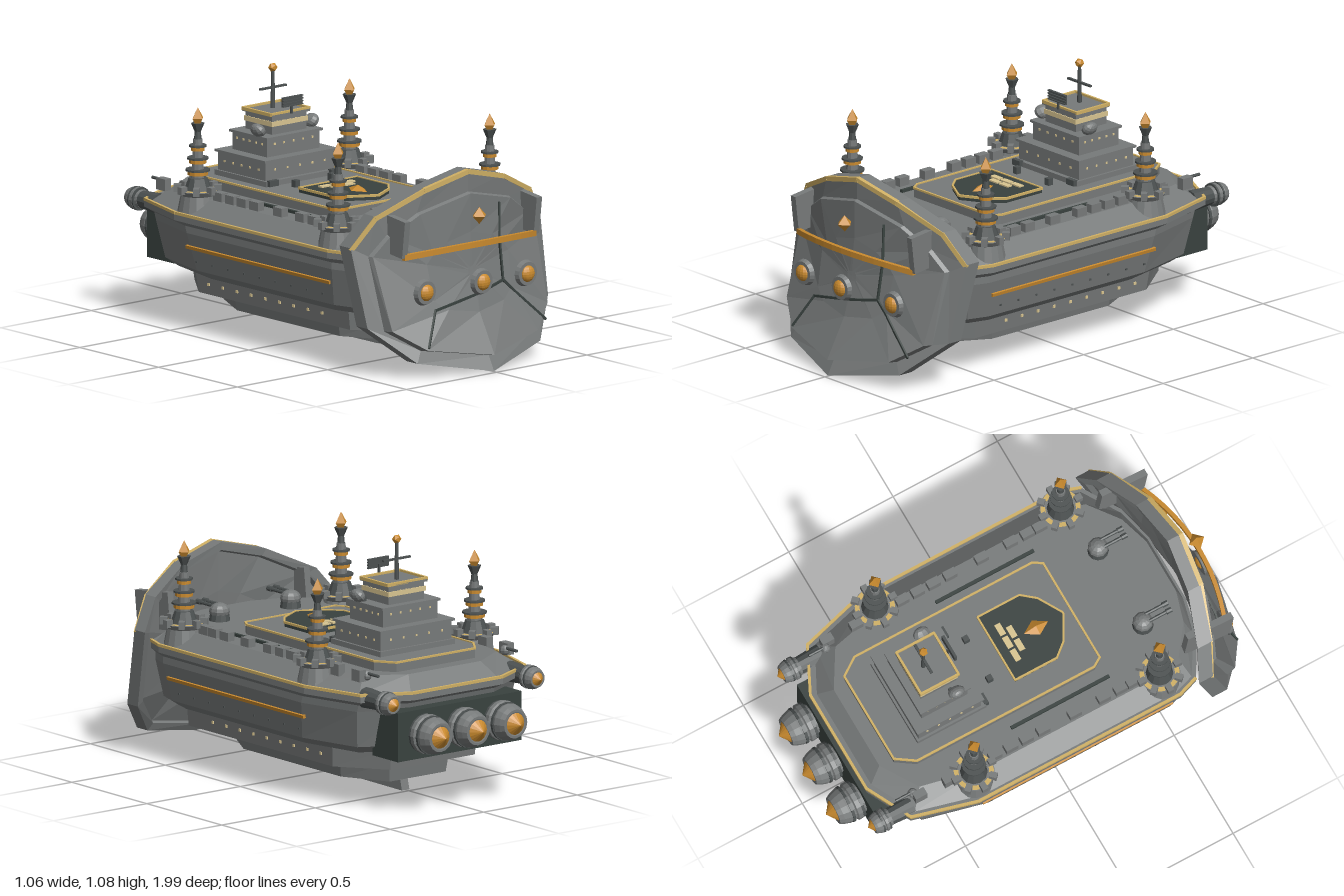
import * as THREE from 'three';

const mat = (name, color) => Object.assign(new THREE.MeshStandardMaterial({ color, flatShading: true }), { name });

export function createModel() {
  const root = new THREE.Group();
  root.name = 'battleship';
  const hull = mat('hull grey', 0x777a7a), dark = mat('dark grey', 0x4c5151), slate = mat('slate', 0x39423f),
    gold = mat('gold', 0xc98a2e), brass = mat('brass trim', 0xd0b064), cream = mat('cream', 0xd9c591);

  const add = (name, geo, m, x = 0, y = 0, z = 0, parent = root) => {
    const mesh = new THREE.Mesh(geo, m);
    mesh.name = name;
    mesh.position.set(x, y, z);
    parent.add(mesh);
    return mesh;
  };
  const box = (name, m, w, h, d, x, y, z, parent) => add(name, new THREE.BoxGeometry(w, h, d), m, x, y, z, parent);
  const cyl = (name, m, r1, r2, h, x, y, z, n = 12, parent = root) => add(name, new THREE.CylinderGeometry(r1, r2, h, n), m, x, y, z, parent);
  // straight bars joining successive points
  const bars = (name, m, pts, w, h, closed = false) => {
    for (let i = 0; i < pts.length - (closed ? 0 : 1); i++) {
      const a = new THREE.Vector3(...pts[i]), b = new THREE.Vector3(...pts[(i + 1) % pts.length]);
      const bar = box(name, m, w, h, a.distanceTo(b) + w * 0.4, 0, 0, 0);
      bar.position.copy(a).add(b).multiplyScalar(0.5);
      bar.lookAt(b);
    }
  };
  // closed skin over equal-length rings, capped at both ends
  const skin = (name, rings, m) => {
    const v = [], n = rings[0].length;
    const mid = r => [0, 1, 2].map(k => r.reduce((s, p) => s + p[k], 0) / n);
    const first = rings[0], last = rings[rings.length - 1], c0 = mid(first), c1 = mid(last);
    for (let i = 0; i < n; i++) {
      const j = (i + 1) % n;
      for (let k = 0; k + 1 < rings.length; k++) {
        const a = rings[k], b = rings[k + 1];
        v.push(...a[i], ...a[j], ...b[j], ...a[i], ...b[j], ...b[i]);
      }
      v.push(...c0, ...first[j], ...first[i], ...c1, ...last[i], ...last[j]);
    }
    const g = new THREE.BufferGeometry();
    g.setAttribute('position', new THREE.Float32BufferAttribute(v, 3));
    g.computeVertexNormals();
    return add(name, g, m);
  };
  // mirrored plan outline at height y, from (x, z) points running front to back
  const mirror = (s, y) => [...s.map(([x, z]) => [x, y, z]), ...s.slice().reverse().map(([x, z]) => [-x, y, z])];
  const plan = (y, w, zf, zb) => mirror([[w * 0.3, zf + 0.05], [w * 0.62, zf + 0.01], [w * 0.94, zf - 0.09], [w, zf - 0.18],
    [w, zb + 0.38], [w * 0.85, zb + 0.1], [w * 0.46, zb]], y);
  const tier = (y, w, zf, zb) => mirror([[w * 0.6, zf], [w, zf - 0.18], [w, zb + 0.2], [w * 0.6, zb]], y);

  // hull, deck and stepped underside
  skin('hull', [plan(0.245, 0.42, 0.64, -0.71), plan(0.28, 0.465, 0.68, -0.75), plan(0.44, 0.495, 0.7, -0.78),
    plan(0.47, 0.495, 0.7, -0.79), plan(0.49, 0.52, 0.7, -0.83), plan(0.52, 0.52, 0.7, -0.83)], hull);
  skin('deck', [plan(0.52, 0.5, 0.69, -0.8), plan(0.58, 0.42, 0.67, -0.74)], hull);
  bars('deckTrim', brass, plan(0.522, 0.517, 0.7, -0.827).slice(2, -2), 0.012, 0.012);
  skin('lowerHull', [tier(0.16, 0.375, 0.68, -0.66), tier(0.25, 0.385, 0.68, -0.67)], hull);
  skin('bottomHull', [tier(0.08, 0.25, 0.47, -0.56), tier(0.16, 0.265, 0.48, -0.57)], hull);
  const fin = new THREE.Shape([[-0.39, 0.085], [-0.27, 0.012], [0.48, 0.008], [0.46, 0.085]].map(p => new THREE.Vector2(...p)));
  add('keelFin', new THREE.ExtrudeGeometry(fin, { depth: 0.04, bevelEnabled: false }), hull, -0.02, 0, 0).rotation.y = Math.PI / 2;
  add('keelBulb', new THREE.SphereGeometry(0.028, 10, 8), dark, 0, 0.06, 0.35);
  for (const z of [0.08, -0.09, -0.25, -0.4]) box('keelRib', hull, 0.13, 0.04, 0.016, 0, 0.063, z);

  // side stripes, portholes and battlements
  for (const s of [-1, 1]) {
    box('sideStripe', gold, 0.014, 0.014, 0.91, s * 0.486, 0.38, 0.045).rotation.z = -s * 0.19;
    for (let i = 0; i < 9; i++) {
      box('porthole', cream, 0.008, 0.012, 0.012, s * 0.381, 0.205, 0.33 - i * 0.09);
      box('hullPort', dark, 0.008, 0.008, 0.008, s * 0.473, 0.32, 0.44 - i * 0.1);
    }
    box('deckSlot', slate, 0.014, 0.014, 0.47, s * 0.32, 0.585, 0.055);
    for (const z of [-0.66, -0.52, -0.3, -0.225, -0.15, -0.07, 0.08, 0.22, 0.3, 0.36])
      box('battlement', hull, 0.035, 0.05, 0.055, s * 0.395, 0.592, z);
  }

  // raised deck plate with trim
  const platePlan = y => mirror([[0.24, 0.29], [0.265, 0.25], [0.265, -0.6], [0.21, -0.68]], y);
  skin('centrePlate', [platePlan(0.58), platePlan(0.62)], hull);
  bars('plateTrim', brass, platePlan(0.621), 0.009, 0.008, true);

  // deck emblem
  const crest = y => mirror([[0.005, 0.25], [0.11, 0.19], [0.16, 0.13], [0.16, -0.07]], y);
  skin('crestPlate', [crest(0.62), crest(0.64)], slate);
  bars('crestTrim', brass, crest(0.639), 0.008, 0.01, true);
  for (const [x, z] of [[-0.065, -0.015], [0, -0.015], [0.065, -0.015], [-0.033, 0.022], [0.033, 0.022]])
    box('crestBrick', cream, 0.054, 0.012, 0.026, x, 0.64, z);
  add('crestDiamond', new THREE.OctahedronGeometry(1).scale(0.036, 0.022, 0.058), gold, 0, 0.64, 0.12);

  // bridge tower
  box('bridgeFoot', hull, 0.4, 0.025, 0.33, 0, 0.63, -0.395);
  for (const [w, d, y0, y1] of [[0.38, 0.3, 0.62, 0.73], [0.29, 0.22, 0.73, 0.815], [0.19, 0.17, 0.815, 0.9]]) {
    box('bridgeTier', hull, w, y1 - y0, d, 0, (y0 + y1) / 2, -0.4);
    box('bridgeLedge', hull, w + 0.02, 0.01, d + 0.02, 0, y1 - 0.005, -0.4);
    for (let i = -2; i <= 2; i++) {
      box('bridgeWindowSide', cream, w + 0.006, 0.009, 0.009, 0, (y0 + y1) / 2 + 0.01, -0.4 + i * d * 0.18);
      box('bridgeWindowFront', cream, 0.009, 0.009, d + 0.006, i * w * 0.18, (y0 + y1) / 2 + 0.01, -0.4);
    }
  }
  box('bridgeWindowBand', cream, 0.2, 0.02, 0.18, 0, 0.86, -0.4);
  const roof = [[0.105, 0.902, -0.31], [0.105, 0.902, -0.49], [-0.105, 0.902, -0.49], [-0.105, 0.902, -0.31]];
  bars('roofTrim', brass, roof, 0.01, 0.014, true);
  cyl('mast', dark, 0.007, 0.01, 0.16, 0, 0.98, -0.42, 8);
  box('mastArm', dark, 0.145, 0.008, 0.012, 0, 0.988, -0.42);
  add('mastBall', new THREE.IcosahedronGeometry(0.02), gold, 0, 1.073, -0.42);
  box('radarPanel', dark, 0.11, 0.042, 0.006, 0, 0.95, -0.298);
  for (const y of [0.932, 0.944, 0.956, 0.968]) box('radarSlat', dark, 0.11, 0.005, 0.012, 0, y, -0.295);
  box('radarPost', dark, 0.008, 0.05, 0.008, 0, 0.92, -0.302);
  for (const s of [-1, 1]) {
    const dish = add('radarDish', new THREE.SphereGeometry(0.042, 10, 8).scale(0.6, 0.75, 0.9), hull, s * 0.148, 0.838, -0.345);
    dish.rotation.z = -s * 0.7;
    cyl('dishPost', dark, 0.01, 0.01, 0.06, s * 0.125, 0.805, -0.36, 8);
    box('deckVent', dark, 0.025, 0.03, 0.025, s * 0.1, 0.635, -0.16);
    box('deckLocker', dark, 0.05, 0.025, 0.02, s * 0.17, 0.635, -0.225);
  }

  // corner towers
  for (const x of [-0.42, 0.42]) for (const z of [0.475, -0.415]) {
    const t = new THREE.Group();
    t.name = 'cornerTower';
    t.position.set(x, 0, z);
    root.add(t);
    cyl('towerBase', hull, 0.07, 0.09, 0.1, 0, 0.55, 0, 16, t);
    cyl('towerLip', hull, 0.088, 0.075, 0.02, 0, 0.603, 0, 16, t);
    for (let i = 0; i < 8; i++) {
      const a = i * Math.PI / 4;
      box('towerMerlon', hull, 0.026, 0.032, 0.032, Math.sin(a) * 0.085, 0.62, Math.cos(a) * 0.085, t).rotation.y = a;
      const arc = new THREE.RingGeometry(0.064, 0.084, 4, 1, a + 0.2, Math.PI / 4 - 0.4).rotateX(-Math.PI / 2);
      add('towerFloorArc', arc, brass, 0, 0.616, 0, t);
    }
    cyl('towerCollar', dark, 0.04, 0.058, 0.05, 0, 0.64, 0, 12, t);
    cyl('towerColumn', hull, 0.02, 0.03, 0.22, 0, 0.72, 0, 10, t);
    for (const [y, r] of [[0.685, 0.044], [0.735, 0.037], [0.788, 0.029]]) {
      cyl('towerGoldRing', gold, r, r, 0.015, 0, y, 0, 12, t);
      cyl('towerDarkRing', dark, r + 0.008, r + 0.008, 0.008, 0, y + 0.013, 0, 12, t);
    }
    cyl('towerNeck', dark, 0.012, 0.018, 0.06, 0, 0.84, 0, 8, t);
    cyl('towerCup', dark, 0.029, 0.012, 0.04, 0, 0.878, 0, 6, t);
    add('towerFinial', new THREE.OctahedronGeometry(1).scale(0.029, 0.047, 0.029), gold, 0, 0.918, 0, t);
  }

  // deck guns, fore and aft
  for (const s of [-1, 1]) {
    cyl('gunBase', dark, 0.04, 0.045, 0.03, s * 0.19, 0.595, 0.525);
    add('gunDome', new THREE.SphereGeometry(0.044, 10, 8).scale(1, 0.8, 1), hull, s * 0.19, 0.62, 0.525);
    for (const o of [-0.017, 0.017]) {
      cyl('gunBarrel', dark, 0.008, 0.008, 0.12, s * 0.19 + o, 0.64, 0.585, 8).rotation.x = Math.PI / 2;
      cyl('gunMuzzle', dark, 0.012, 0.012, 0.025, s * 0.19 + o, 0.64, 0.64, 8).rotation.x = Math.PI / 2;
    }
    add('aftGun', new THREE.SphereGeometry(0.022, 8, 6), hull, s * 0.37, 0.59, -0.68);
    cyl('aftGunBarrel', dark, 0.007, 0.007, 0.08, s * 0.37, 0.6, -0.72, 8).rotation.x = Math.PI / 2;
  }

  // engine block and engines, each pointing aft
  box('engineBlock', slate, 0.66, 0.21, 0.17, 0, 0.345, -0.755);
  const engine = (x, y, z, k) => {
    const e = new THREE.Group();
    e.name = 'engine';
    e.position.set(x, y, z);
    e.scale.setScalar(k);
    e.rotation.x = -Math.PI / 2;
    root.add(e);
    const prof = [[0, 0], [0.065, 0], [0.07, 0.03], [0.085, 0.035], [0.085, 0.055], [0.075, 0.06], [0.08, 0.09], [0.072, 0.115], [0.062, 0.135], [0.052, 0.135], [0, 0.12]];
    add('engineBell', new THREE.LatheGeometry(prof.map(p => new THREE.Vector2(...p)), 16), hull, 0, 0, 0, e);
    for (const h of [0.028, 0.075]) cyl('engineRing', dark, 0.083, 0.083, 0.012, 0, h, 0, 16, e);
    add('engineCore', new THREE.ConeGeometry(0.054, 0.042, 16), gold, 0, 0.149, 0, e);
  };
  for (const x of [-0.2, 0, 0.2]) engine(x, 0.35, -0.83, 1);
  for (const s of [-1, 1]) {
    engine(s * 0.385, 0.5, -0.8, 0.6);
    cyl('sideEngineBody', dark, 0.045, 0.038, 0.11, s * 0.385, 0.5, -0.75).rotation.x = Math.PI / 2;
  }

  // bow shield: curved back at the sides and forward at the foot
  const bow = (x, y) => 0.82 + 0.47 * Math.max(0, 0.6 - y) ** 2 - 0.53 * x * x;
  const edge = [[0, 0.845], [0.22, 0.79], [0.43, 0.69], [0.525, 0.56], [0.5, 0.225], [0.34, 0.075], [0, 0.01]];
  const inner = [[0, 0.745], [0.25, 0.685], [0.38, 0.6], [0.45, 0.52], [0.43, 0.215], [0.305, 0.13], [0, 0.08]];
  const ring = (half, s, dz, foot = 0) => [...half.map(([x, y]) => [-x, y]), ...half.slice(1, -1).reverse()].map(([px, py]) => {
    const x = px * s, y = 0.42 + (py - 0.42) * s;
    return [x, y, bow(x, y) + dz + (y < 0.25 ? foot : 0)];
  });
  skin('bowShield', [ring(edge, 0.06, -0.05), ring(edge, 0.5, -0.05), ring(edge, 0.9, -0.05), ring(edge, 0.92, -0.07), ring(edge, 1, -0.07),
    ring(edge, 1, 0), ring(inner, 1.02, 0), ring(inner, 1, 0.015, 0.025), ring(inner, 0.5, 0.015), ring(inner, 0.06, 0.015)], hull);
  const rim = edge.slice(0, 4).map(([x, y]) => [x * 0.985, y - 0.009, bow(x, y) - 0.006]);
  for (const s of [-1, 1]) bars('shieldRim', brass, rim.map(([x, y, z]) => [s * x, y, z]), 0.02, 0.02);
  // seams across the shield face
  const lift = y => 0.018 + 0.025 * Math.min(1, Math.max(0, (0.3 - y) / 0.15));
  const seam = pts => bars('shieldSeam', slate, pts.map(([x, y]) => [x, y, bow(x, y) + lift(y)]), 0.008, 0.01);
  seam([[0.17, 0.68], [0.168, 0.52], [0.165, 0.355], [0.08, 0.338], [0, 0.322], [-0.11, 0.302], [-0.22, 0.28], [-0.3, 0.14]]);
  seam([[0.165, 0.355], [0.22, 0.305], [0.28, 0.25], [0.38, 0.16]]);

  // shield fittings
  for (const x of [-0.28, 0, 0.28]) {
    const y = x ? 0.368 : 0.38, z = bow(x, y) + 0.065;
    cyl('lampRing', hull, 0.05, 0.057, 0.02, x, y, z, 20).rotation.x = Math.PI / 2;
    add('lamp', new THREE.SphereGeometry(0.036, 14, 10).scale(1, 1, 0.7), gold, x, y, z + 0.005);
  }
  const brow = new THREE.BoxGeometry(0.73, 0.024, 0.018, 12, 1, 1), p = brow.attributes.position;
  for (let i = 0; i < p.count; i++) {
    const x = p.getX(i);
    p.setY(i, p.getY(i) + 0.543 - 0.16 * x * x);
    p.setZ(i, p.getZ(i) + 0.9 - 0.55 * x * x);
  }
  brow.computeVertexNormals();
  add('goldBar', brow, gold);
  add('shieldDiamond', new THREE.OctahedronGeometry(0.036), gold, 0, 0.66, 0.89);
  for (const s of [-1, 1]) box('shieldPost', hull, 0.03, 0.16, 0.22, s * 0.365, 0.612, 0.735).rotation.x = 0.12;
  return root;
}
